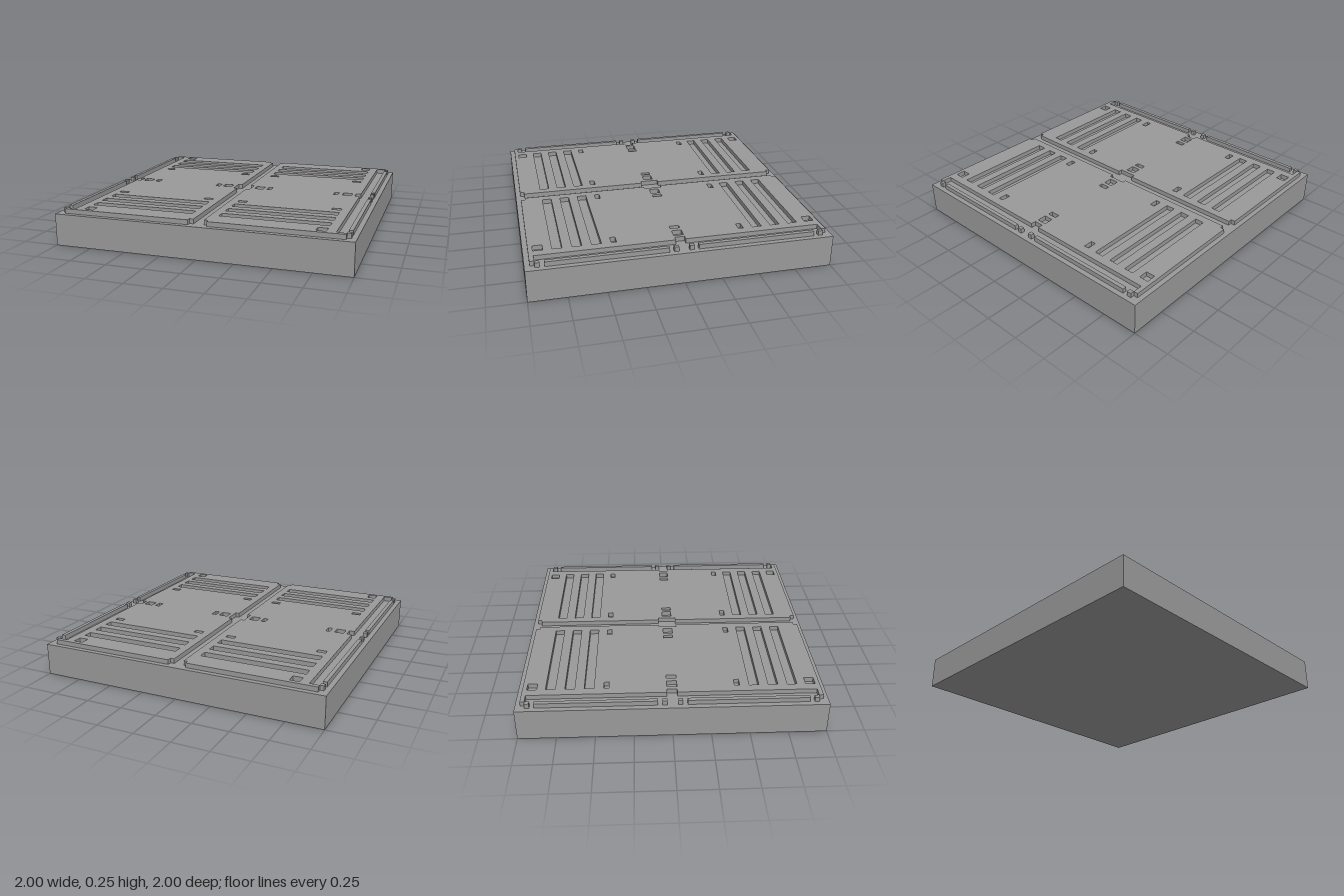
import * as THREE from 'three';

const BASE_H = 0.218;
const TOP_H = 0.25;
const RAISE = TOP_H - BASE_H;

// Closed rectangular outline, used for cut-outs in the panel
function rectPath(x0, x1, z0, z1) {
  return new THREE.Path([[x0, z0], [x0, z1], [x1, z1], [x1, z0]].map(p => new THREE.Vector2(...p)));
}

// Raised half panel with notched rim, slots and sockets
function panelGeometry() {
  const frontHalf = [
    [0.84, 0], [0.84, 0.033], [0.875, 0.033], [0.875, 0.938], [0.94, 0.938], [0.94, 0.967],
    [0.063, 0.967], [0.063, 0.938], [0.035, 0.938], [0.035, 0.063], [0.063, 0.063], [0.063, 0],
  ];
  const backHalf = frontHalf.slice(1, -1).reverse().map(([x, z]) => [x, -z]);
  const shape = new THREE.Shape([...frontHalf, ...backHalf].map(p => new THREE.Vector2(...p)));

  // sockets along the middle line
  for (const [x0, x1] of [[0.092, 0.157], [0.185, 0.218], [0.685, 0.718], [0.75, 0.815]]) {
    shape.holes.push(rectPath(x0, x1, -0.033, 0.033));
  }
  for (const s of [-1, 1]) {
    const cut = (x0, x1, a, b) => shape.holes.push(rectPath(x0, x1, Math.min(s * a, s * b), Math.max(s * a, s * b)));
    // three long slots
    for (const z of [0.505, 0.63, 0.755]) cut(0.092, 0.815, z, z + 0.063);
    // small sockets and the corner socket
    cut(0.092, 0.157, 0.408, 0.442);
    cut(0.75, 0.815, 0.408, 0.442);
    cut(0.75, 0.815, 0.875, 0.938);
  }
  const geo = new THREE.ExtrudeGeometry(shape, { depth: RAISE, bevelEnabled: false });
  geo.rotateX(-Math.PI / 2);
  return geo;
}

export function createModel() {
  const model = new THREE.Group();
  model.name = 'floorTile';
  const grey = new THREE.MeshStandardMaterial({ color: 0x999999 });
  grey.name = 'grey';

  const base = new THREE.Mesh(new THREE.BoxGeometry(2, BASE_H, 2), grey);
  base.name = 'base';
  base.position.y = BASE_H / 2;
  model.add(base);

  const panel = panelGeometry();
  for (const side of ['left', 'right']) {
    const half = new THREE.Group();
    half.name = side + 'Half';
    half.rotation.y = side === 'left' ? 0 : Math.PI;

    const plate = new THREE.Mesh(panel, grey);
    plate.name = side + 'Panel';
    plate.position.y = BASE_H;
    half.add(plate);

    // outer rails with a small stud at each end
    const pieces = [['rail', 0.095, 0.877], ['innerStud', 0.035, 0.065], ['outerStud', 0.907, 0.937]];
    for (const s of [-1, 1]) {
      for (const [name, z0, z1] of pieces) {
        const piece = new THREE.Mesh(new THREE.BoxGeometry(0.027, RAISE, z1 - z0), grey);
        piece.name = name;
        piece.position.set(0.9525, BASE_H + RAISE / 2, s * (z0 + z1) / 2);
        half.add(piece);
      }
    }
    model.add(half);
  }
  return model;
}
